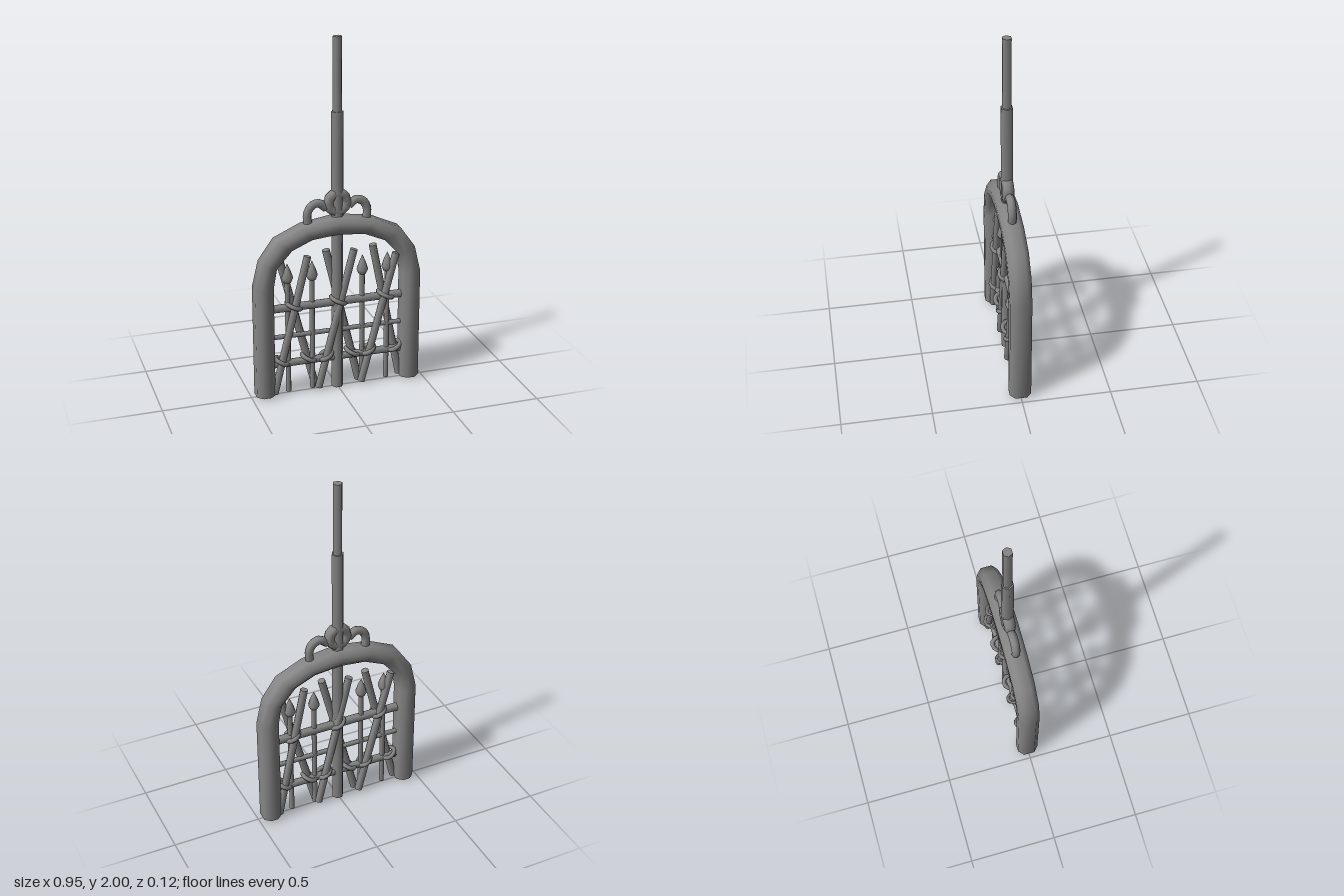
import * as THREE from 'three';

const material = new THREE.MeshStandardMaterial({ color: 0x858585 });
const V = (x, y, z = 0) => new THREE.Vector3(x, y, z);

function add(parent, name, geometry) {
  const mesh = new THREE.Mesh(geometry, material);
  mesh.name = name;
  parent.add(mesh);
  return mesh;
}

// Straight rod between two points
function rod(parent, name, a, b, radius, sides = 8) {
  const geometry = new THREE.CylinderGeometry(radius, radius, a.distanceTo(b), sides);
  geometry.rotateY(Math.PI / 2);
  const mesh = add(parent, name, geometry);
  mesh.position.copy(a).add(b).multiplyScalar(0.5);
  mesh.quaternion.setFromUnitVectors(V(0, 1, 0), b.clone().sub(a).normalize());
}

// Arched frame: a chamfered section swept between inner and outer outlines
function archGeometry() {
  const half = [ // outer x, y, inner x, y
    [0.475, 0.01, 0.37, 0.01], [0.475, 0.65, 0.37, 0.65], [0.44, 0.8, 0.35, 0.76],
    [0.355, 0.92, 0.265, 0.855], [0.2, 0.99, 0.15, 0.905], [0, 1.02, 0, 0.92],
  ];
  const path = [...half, ...half.slice(0, -1).reverse().map(([a, b, c, d]) => [-a, b, -c, d])];
  const section = [ // share from inner to outer, z
    [0.3, 0.06], [0.7, 0.06], [1, 0.032], [1, -0.032],
    [0.7, -0.06], [0.3, -0.06], [0, -0.032], [0, 0.032],
  ];
  const rings = path.map(([ox, oy, ix, iy]) =>
    section.map(([u, z]) => [ix + (ox - ix) * u, iy + (oy - iy) * u, z]));
  const n = section.length, last = rings.length - 1;
  // The end rings are repeated so that the caps keep a sharp edge
  const points = [...rings, rings[0], rings[last]].flat(2);
  const index = [];
  for (let i = 0; i < last; i++) {
    for (let j = 0; j < n; j++) {
      const a = i * n + j, b = i * n + (j + 1) % n;
      index.push(a, b, b + n, a, b + n, a + n);
    }
  }
  const start = (last + 1) * n, end = start + n;
  for (let j = 1; j < n - 1; j++) {
    index.push(start, start + j + 1, start + j, end, end + j, end + j + 1);
  }
  const geometry = new THREE.BufferGeometry();
  geometry.setAttribute('position', new THREE.Float32BufferAttribute(points, 3));
  geometry.setIndex(index);
  geometry.computeVertexNormals();
  return geometry;
}

// Rope loop seen edge-on from the front, tilted by an angle
function lashing(parent, x, y, tilt, radius) {
  const geometry = new THREE.TorusGeometry(radius, 0.013, 6, 12);
  geometry.rotateX(Math.PI / 2);
  const mesh = add(parent, 'lashing', geometry);
  mesh.position.set(x, y, 0);
  mesh.rotation.z = tilt;
}

export function createModel() {
  const model = new THREE.Group();
  model.name = 'hangingGate';

  add(model, 'archFrame', archGeometry());

  // Central pole in two thicknesses
  rod(model, 'mainPole', V(0, 0), V(0, 1.6), 0.034, 6);
  rod(model, 'upperPole', V(0, 1.59), V(0, 2), 0.026, 6);

  // Ring around the pole, with a curved loop down to the arch on each side
  const centreRing = add(model, 'centreRing', new THREE.TorusGeometry(0.051, 0.029, 8, 12));
  centreRing.position.set(0, 1.095, 0);
  centreRing.scale.z = 1.12;
  for (const s of [-1, 1]) {
    const curve = new THREE.CatmullRomCurve3([
      V(s * 0.165, 0.98), V(s * 0.169, 1.045), V(s * 0.145, 1.088),
      V(s * 0.105, 1.1), V(s * 0.065, 1.07),
    ]);
    add(model, 'sideLoop', new THREE.TubeGeometry(curve, 12, 0.024, 8));
  }

  // Cross bars
  const grille = new THREE.Group();
  grille.name = 'grille';
  model.add(grille);
  for (const [y, r] of [[0.515, 0.024], [0.345, 0.014], [0.182, 0.022]]) {
    rod(grille, 'crossBar', V(-0.4, y), V(0.4, y), r);
  }

  // Upright spears with pointed heads
  const head = [[0, 0.655], [0.022, 0.665], [0.033, 0.69], [0.02, 0.73], [0, 0.775]]
    .map(([r, y]) => new THREE.Vector2(r, y));
  for (const x of [-0.285, -0.145, 0.145, 0.29]) {
    rod(grille, 'spearShaft', V(x, 0.01), V(x, 0.67), 0.015);
    add(grille, 'spearHead', new THREE.LatheGeometry(head, 8)).position.x = x;
  }

  // Crossed stakes: bottom x, top x, top y, z, tilt of the rope at the lower bar
  const stakes = [
    [-0.37, -0.175, 0.81, 0.018, -0.5], [-0.125, -0.32, 0.78, -0.018, -0.5],
    [-0.115, 0.09, 0.82, 0.018, 0.5], [0.13, -0.06, 0.82, -0.018, -0.5],
    [0.135, 0.335, 0.77, 0.018, 0.5], [0.375, 0.21, 0.82, -0.018, 0.5],
  ];
  for (const [x0, x1, y1, z, tilt] of stakes) {
    rod(grille, 'stake', V(x0, 0.015, z), V(x1, y1, z), 0.022);
    lashing(grille, x0 + (x1 - x0) * 0.23, 0.198, tilt, 0.04);
  }

  // Ropes where the stakes cross
  for (const x of [-0.252, 0.005, 0.28]) {
    lashing(grille, x, 0.522, -0.45, 0.043);
  }
  return model;
}
